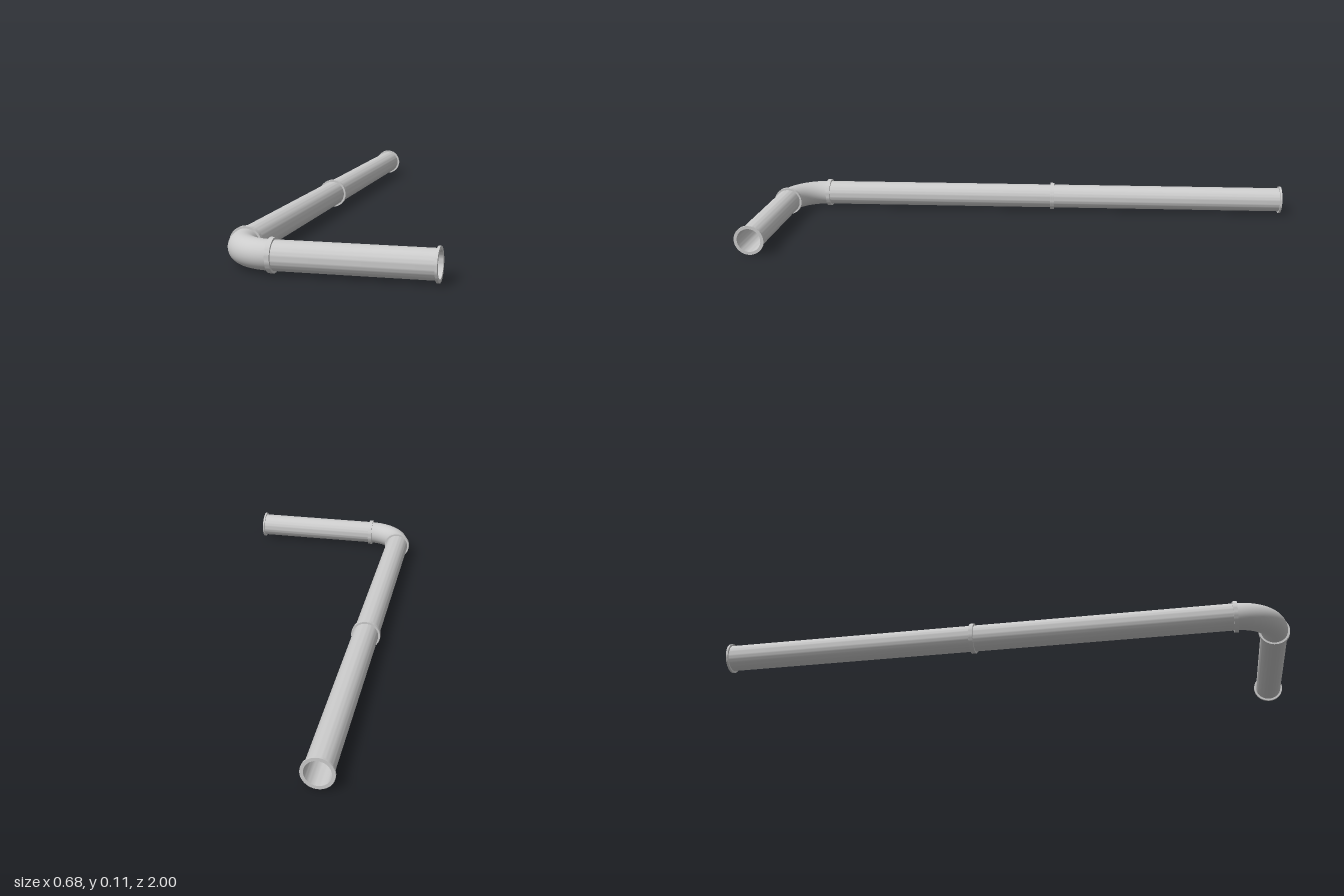
import * as THREE from 'three';
import { toCreasedNormals } from 'three/addons/utils/BufferGeometryUtils.js';

const PIPE = 0.046, BORE = 0.042, FLANGE = 0.053, RIM = 0.0075;
const BEND = 0.135, AXIS_X = -0.29, AXIS_Z = 0.947;
const SIDES = 48;

const material = new THREE.MeshStandardMaterial({ color: 0xcccccc });
const boreMaterial = new THREE.MeshStandardMaterial({ color: 0xcccccc, side: THREE.DoubleSide });

// Closed ring profile turned around y: outside going up, bore coming back down
function turned(points) {
  const profile = points.map(([r, y]) => new THREE.Vector2(r, y));
  return toCreasedNormals(new THREE.LatheGeometry(profile, SIDES), 0.6);
}

function straightPipe(length) {
  const h = length / 2;
  return turned([
    [BORE, -h], [FLANGE, -h], [FLANGE, -h + RIM], [PIPE, -h + RIM],
    [PIPE, h - RIM], [FLANGE, h - RIM], [FLANGE, h], [BORE, h], [BORE, -h],
  ]);
}

function flangeRing() {
  return turned([[BORE, 0], [FLANGE, 0], [FLANGE, RIM], [BORE, RIM], [BORE, 0]]);
}

function bendSurface(radius) {
  return new THREE.TorusGeometry(BEND, radius, SIDES, 24, Math.PI / 2)
    .rotateZ(Math.PI / 2).rotateX(Math.PI / 2);
}

export function createModel() {
  const model = new THREE.Group();
  model.name = 'pipeRun';
  const add = (name, geometry, x, z, mat = material) => {
    const mesh = new THREE.Mesh(geometry, mat);
    mesh.name = name;
    mesh.position.set(x, FLANGE, z);
    model.add(mesh);
  };

  const bendX = AXIS_X + BEND, bendZ = AXIS_Z - BEND;

  // Two equal lengths along z, meeting flange to flange
  const length = (bendZ + 1) / 2;
  ['rearPipe', 'middlePipe'].forEach((name, i) =>
    add(name, straightPipe(length).rotateX(Math.PI / 2), AXIS_X, -1 + length * (i + 0.5)));

  // Short length along x
  const end = 0.341;
  add('sidePipe', straightPipe(end - bendX).rotateZ(-Math.PI / 2), (bendX + end) / 2, AXIS_Z);

  // Elbow with its bore and a flange at each mouth
  add('elbow', bendSurface(PIPE), bendX, bendZ);
  add('elbowBore', bendSurface(BORE), bendX, bendZ, boreMaterial);
  add('elbowRearFlange', flangeRing().rotateX(Math.PI / 2), AXIS_X, bendZ);
  add('elbowSideFlange', flangeRing().rotateZ(Math.PI / 2), bendX, AXIS_Z);

  return model;
}
